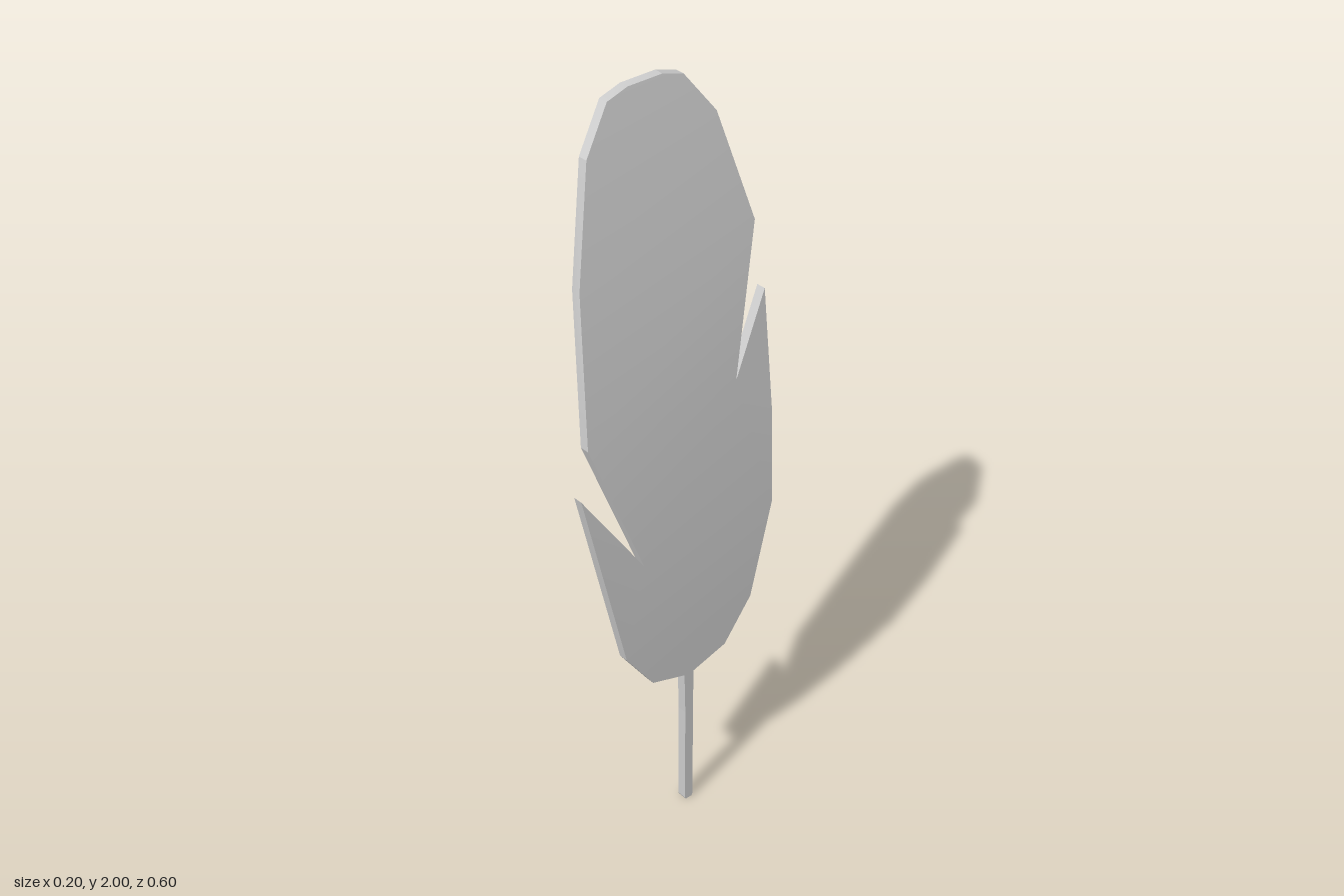
import * as THREE from 'three';
import { toCreasedNormals } from 'three/addons/utils/BufferGeometryUtils.js';

const THICKNESS = 0.026;

// Vane outline as [z, y], from the quill up the +z edge and down the -z edge
const OUTLINE = [
  [-0.005, 0.424], [0.10, 0.456], [0.185, 0.573], [0.302, 1.093], [0.127, 0.833],
  [0.272, 1.215], [0.241, 1.597], [0.167, 1.878], [0.087, 1.984], [0.024, 2.0],
  [-0.077, 2.0], [-0.135, 1.984], [-0.214, 1.878], [-0.286, 1.597], [-0.185, 1.22],
  [-0.296, 1.42], [-0.297, 1.1], [-0.291, 0.833], [-0.225, 0.568], [-0.14, 0.456],
  [-0.034, 0.424],
];

// Bands across the vane, then the two split barbs
const PANELS = [
  [0, 20, 19, 1], [1, 19, 18, 2], [2, 18, 17, 4], [4, 17, 14, 5],
  [5, 14, 13, 6], [6, 13, 12, 7], [7, 12, 11, 8], [8, 11, 10, 9],
  [2, 4, 3], [17, 16, 14], [16, 15, 14],
];

// Backward curve: [y, x of the +x face]
const BEND = [
  [0, 0.097], [0.6, 0.097], [0.833, 0.096], [1.093, 0.079], [1.215, 0.07],
  [1.42, 0.042], [1.597, 0.012], [1.878, -0.047], [1.984, -0.072], [2, -0.076],
];

function bendX(y) {
  const i = Math.max(1, BEND.findIndex(([by]) => by >= y));
  const [y0, x0] = BEND[i - 1];
  const [y1, x1] = BEND[i];
  return x0 + (x1 - x0) * (y - y0) / (y1 - y0);
}

function vaneGeometry() {
  const n = OUTLINE.length;
  const positions = [];
  for (const offset of [0, THICKNESS]) {
    for (const [z, y] of OUTLINE) positions.push(bendX(y) - offset, y, z);
  }
  const index = [];
  // Both broad faces
  for (const p of PANELS) {
    for (let k = 1; k < p.length - 1; k++) {
      index.push(p[0], p[k], p[k + 1]);
      index.push(n + p[0], n + p[k + 1], n + p[k]);
    }
  }
  // Rim around the outline
  for (let i = 0; i < n; i++) {
    const j = (i + 1) % n;
    index.push(i, j, n + j, i, n + j, n + i);
  }
  const geometry = new THREE.BufferGeometry();
  geometry.setAttribute('position', new THREE.Float32BufferAttribute(positions, 3));
  geometry.setIndex(index);
  return toCreasedNormals(geometry, 0.25);
}

// Square quill with a slightly chamfered foot
function quillGeometry() {
  const shape = new THREE.Shape([
    [0.012, 0], [0.032, 0], [0.035, 0.006], [0.034, 0.43], [0.004, 0.43], [0.008, 0.3], [0.009, 0.006],
  ].map(([x, y]) => new THREE.Vector2(x, y)));
  const geometry = new THREE.ExtrudeGeometry(shape, { depth: THICKNESS, bevelEnabled: false });
  geometry.rotateY(Math.PI / 2);
  geometry.translate(bendX(0) - THICKNESS, 0, 0);
  return geometry;
}

export function createModel() {
  const group = new THREE.Group();
  group.name = 'feather';
  const material = new THREE.MeshStandardMaterial({ color: 0xcccccc });
  const vane = new THREE.Mesh(vaneGeometry(), material);
  vane.name = 'vane';
  const quill = new THREE.Mesh(quillGeometry(), material);
  quill.name = 'quill';
  group.add(vane, quill);
  return group;
}
